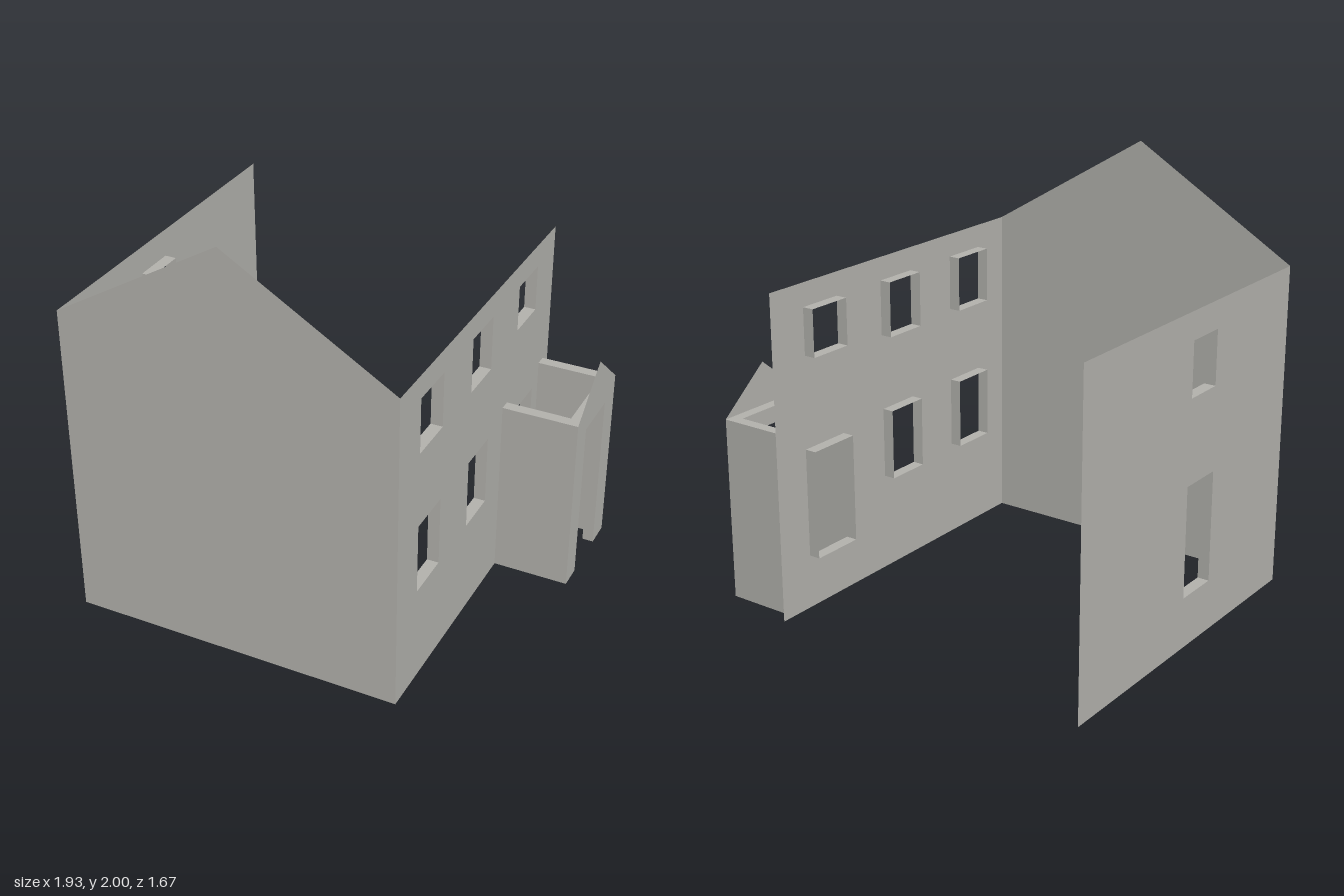
import * as THREE from 'three';

const plaster = new THREE.MeshStandardMaterial({ color: 0xb3b2ad, side: THREE.DoubleSide });
plaster.name = 'warm grey plaster';

const LEFT_X = 0.605, RIGHT_X = -0.97, HALF_Z = 0.835, EAVES = 1.53, RIDGE = 2;
const REVEAL = 0.055;

function add(parent, name, geometry) {
  const mesh = new THREE.Mesh(geometry, plaster);
  mesh.name = name;
  parent.add(mesh);
  return mesh;
}

function outline(points) {
  return new THREE.Shape(points.map(([a, b]) => new THREE.Vector2(a, b)));
}

// Turn a shape drawn in (z, y) so that it stands at a given x; depth runs towards -x
function standAt(geometry, x) {
  return geometry.rotateY(-Math.PI / 2).translate(x, 0, 0);
}

// Open rectangular sleeve lining an opening, from x0 inwards
function revealGeometry(x, inward, [z0, z1, y0, y1]) {
  const sleeve = new THREE.CylinderGeometry(Math.SQRT1_2, Math.SQRT1_2, 1, 4, 1, true)
    .rotateY(Math.PI / 4)
    .rotateZ(Math.PI / 2)
    .scale(REVEAL, y1 - y0, z1 - z0)
    .translate(x + inward * REVEAL / 2, (y0 + y1) / 2, (z0 + z1) / 2)
    .toNonIndexed();
  sleeve.computeVertexNormals();
  return sleeve;
}

// Thin side wall with lined openings, each given as [z0, z1, y0, y1]
function sideWall(name, x, inward, openings) {
  const group = new THREE.Group();
  group.name = name;
  const shape = outline([[-HALF_Z, 0], [HALF_Z, 0], [HALF_Z, EAVES], [-HALF_Z, EAVES]]);
  for (const [z0, z1, y0, y1] of openings) {
    shape.holes.push(new THREE.Path(
      [[z0, y0], [z0, y1], [z1, y1], [z1, y0]].map(([z, y]) => new THREE.Vector2(z, y))));
  }
  add(group, 'wallSheet', standAt(new THREE.ShapeGeometry(shape), x));
  for (const opening of openings) add(group, 'openingReveal', revealGeometry(x, inward, opening));
  return group;
}

function porch() {
  const group = new THREE.Group();
  group.name = 'porch';
  const front = 0.965, thick = 0.053, height = 0.87;
  const z0 = -0.773, z1 = -0.273, door0 = -0.645, door1 = -0.39, doorTop = 0.79;

  // Front panel with a doorway reaching the ground
  const panel = outline([[z0, 0], [door0, 0], [door0, doorTop], [door1, doorTop],
    [door1, 0], [z1, 0], [z1, height], [z0, height]]);
  add(group, 'porchFront',
    standAt(new THREE.ExtrudeGeometry(panel, { depth: thick, bevelEnabled: false }), front));

  // Thin gable above the panel
  const gable = outline([[z0, height], [z1, height], [(z0 + z1) / 2, 1.075]]);
  add(group, 'porchGable', standAt(new THREE.ShapeGeometry(gable), front));

  // Side walls back to the house
  const length = front - thick - LEFT_X;
  for (const z of [z0 + thick / 2, z1 - thick / 2]) {
    add(group, 'porchSide', new THREE.BoxGeometry(length, height, thick))
      .position.set(LEFT_X + length / 2, height / 2, z);
  }
  return group;
}

export function createModel() {
  const model = new THREE.Group();
  model.name = 'openHouseShell';

  // Gable end wall
  const gable = outline([[RIGHT_X, 0], [LEFT_X, 0], [LEFT_X, EAVES],
    [(LEFT_X + RIGHT_X) / 2, RIDGE], [RIGHT_X, EAVES]]);
  add(model, 'gableWall', new THREE.ShapeGeometry(gable).translate(0, 0, HALF_Z));

  // Entrance wall: two lower windows, three upper windows and the inner door
  model.add(sideWall('entranceWall', LEFT_X, -1, [
    [0.41, 0.635, 0.465, 0.80],
    [-0.108, 0.11, 0.465, 0.80],
    [0.41, 0.635, 1.16, 1.42],
    [-0.108, 0.11, 1.16, 1.42],
    [-0.63, -0.41, 1.20, 1.42],
    [-0.648, -0.392, 0.255, 0.768],
  ]));

  // Opposite wall: one tall lower window and one upper window
  model.add(sideWall('plainWall', RIGHT_X, 1, [
    [-0.018, 0.202, 0.24, 0.758],
    [-0.008, 0.19, 1.15, 1.402],
  ]));

  model.add(porch());
  return model;
}
